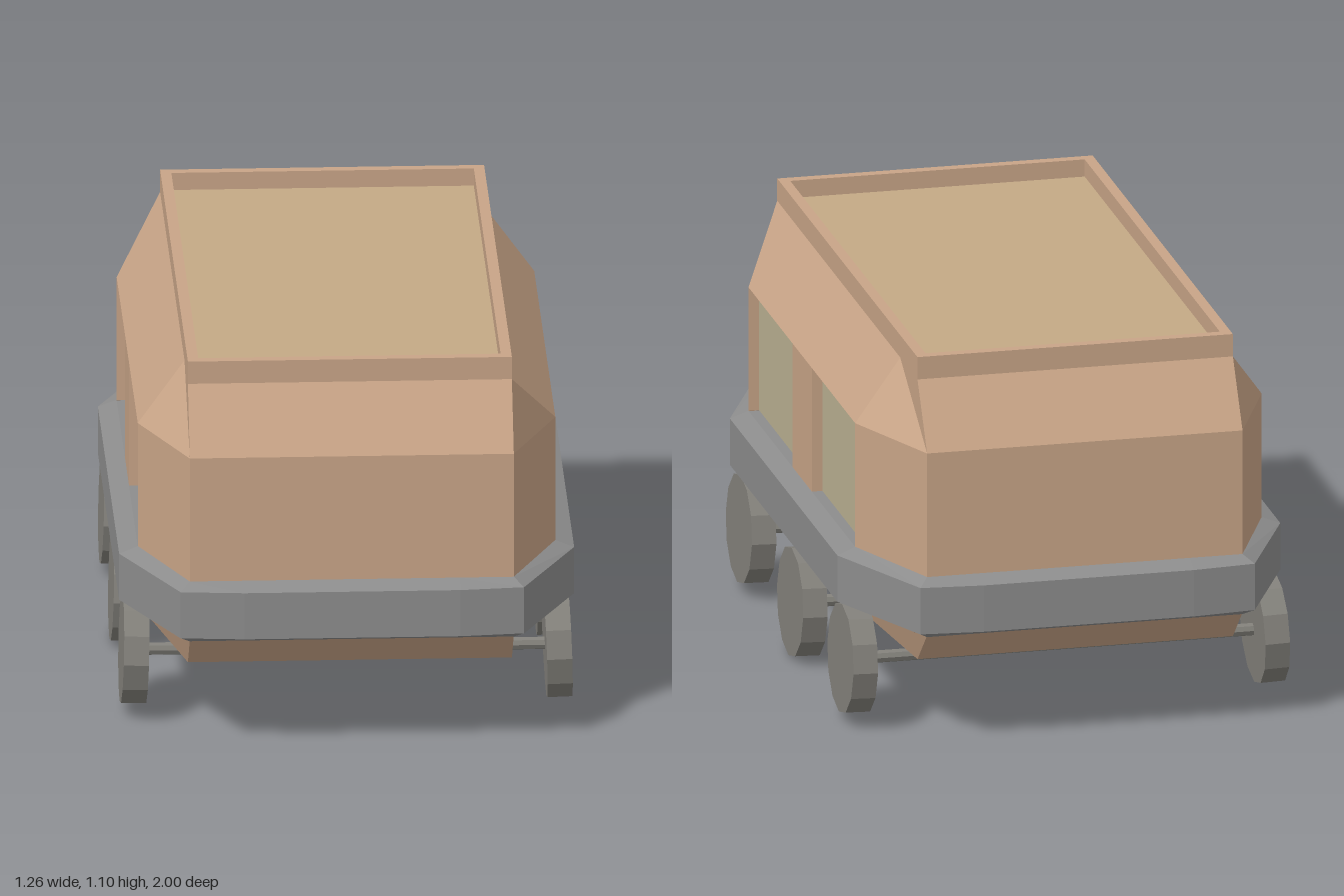
import * as THREE from 'three';

const mat = (color) => new THREE.MeshStandardMaterial({ color, flatShading: true, side: THREE.DoubleSide });

// Mirror the points of one quadrant (x, z) into a closed ring at height y
function ring(y, quarter) {
  const rev = [...quarter].reverse();
  return [
    ...quarter.map(([x, z]) => [x, y, z]),
    ...rev.map(([x, z]) => [-x, y, z]),
    ...quarter.map(([x, z]) => [-x, y, -z]),
    ...rev.map(([x, z]) => [x, y, -z]),
  ];
}

// Join rings from bottom to top; skip(level, side) leaves an opening
function loft(rings, skip = () => false) {
  const pos = [];
  for (let l = 0; l < rings.length - 1; l++) {
    const lo = rings[l], up = rings[l + 1], n = lo.length;
    for (let i = 0; i < n; i++) {
      if (skip(l, i)) continue;
      const j = (i + 1) % n;
      pos.push(...lo[i], ...up[i], ...up[j], ...lo[i], ...up[j], ...lo[j]);
    }
  }
  const geo = new THREE.BufferGeometry();
  geo.setAttribute('position', new THREE.Float32BufferAttribute(pos, 3));
  geo.computeVertexNormals();
  return geo;
}

export function createModel() {
  const model = new THREE.Group();
  const tan = mat(0xc8a487), roofTan = mat(0xc4a985), paneTan = mat(0xbab092);
  const grey = mat(0x8c8c8c), wheelGrey = mat(0x82807a);

  const add = (name, geo, material, x = 0, y = 0, z = 0) => {
    const mesh = new THREE.Mesh(geo, material);
    mesh.name = name;
    mesh.position.set(x, y, z);
    model.add(mesh);
    return mesh;
  };

  // Body shell: rectangle at floor and roof, octagon at the waist, raised rim on top
  const box = [[0.45, 0.63], [0.45, 0.835]];
  const waist = [[0.58, 0.635], [0.45, 0.95]];
  const lip = [[0.42, 0.63], [0.42, 0.805]];
  const shell = [
    ring(0.225, box), ring(0.33, waist), ring(0.5, waist), ring(0.86, waist),
    ring(1.04, box), ring(1.105, box), ring(1.105, lip), ring(1.05, lip),
  ];
  add('body', loft(shell, (level, side) => level === 2 && (side === 3 || side === 7)), tan);

  // Floor and sunken roof panel
  const floor = add('floor', new THREE.PlaneGeometry(0.9, 1.67), tan, 0, 0.225, 0);
  floor.rotation.x = Math.PI / 2;
  const roof = add('roof', new THREE.PlaneGeometry(0.84, 1.61), roofTan, 0, 1.055, 0);
  roof.rotation.x = -Math.PI / 2;

  // Recessed windows with jambs, and the pillar between them
  const windows = [[0.11, 0.635], [-0.635, -0.12]];
  for (const s of [1, -1]) {
    add('pillar', new THREE.BoxGeometry(0.03, 0.36, 0.23), tan, s * 0.565, 0.68, -0.005);
    for (const [z0, z1] of windows) {
      const mid = (z0 + z1) / 2, width = z1 - z0;
      const pane = add('window', new THREE.PlaneGeometry(width, 0.36), paneTan, s * 0.55, 0.68, mid);
      pane.rotation.y = s * Math.PI / 2;
      const lintel = add('windowLintel', new THREE.PlaneGeometry(0.03, width), tan, s * 0.565, 0.86, mid);
      lintel.rotation.x = Math.PI / 2;
      const end = Math.abs(z0) > Math.abs(z1) ? z0 : z1;
      add('windowJamb', new THREE.PlaneGeometry(0.03, 0.36), tan, s * 0.565, 0.68, end);
    }
  }

  // Bumper band around the waist
  const inner = [[0.58, 0.635], [0.45, 0.95], [0.3, 0.95]];
  const outer = [[0.632, 0.64], [0.477, 0.983], [0.3, 1]];
  add('bumper', loft([ring(0.325, inner), ring(0.345, outer), ring(0.48, outer), ring(0.5, inner)]), grey);
  // Sill closing the window recesses on top of the bumper
  for (const s of [1, -1]) {
    add('sill', new THREE.BoxGeometry(0.04, 0.02, 1.27), grey, s * 0.56, 0.489, 0);
  }

  // Three axles, each with a pair of wheels
  const wheelGeo = new THREE.CylinderGeometry(0.156, 0.156, 0.07, 12).rotateZ(Math.PI / 2);
  const axleGeo = new THREE.CylinderGeometry(0.018, 0.018, 1.12, 8).rotateZ(Math.PI / 2);
  for (const [z, y] of [[0.57, 0.18], [-0.04, 0.157], [-0.64, 0.18]]) {
    add('axle', axleGeo, wheelGrey, 0, y - 0.003, z);
    for (const s of [1, -1]) {
      const wheel = add('wheel', wheelGeo, wheelGrey, s * 0.588, y, z);
      wheel.rotation.z = s * 0.03;
    }
  }
  return model;
}
